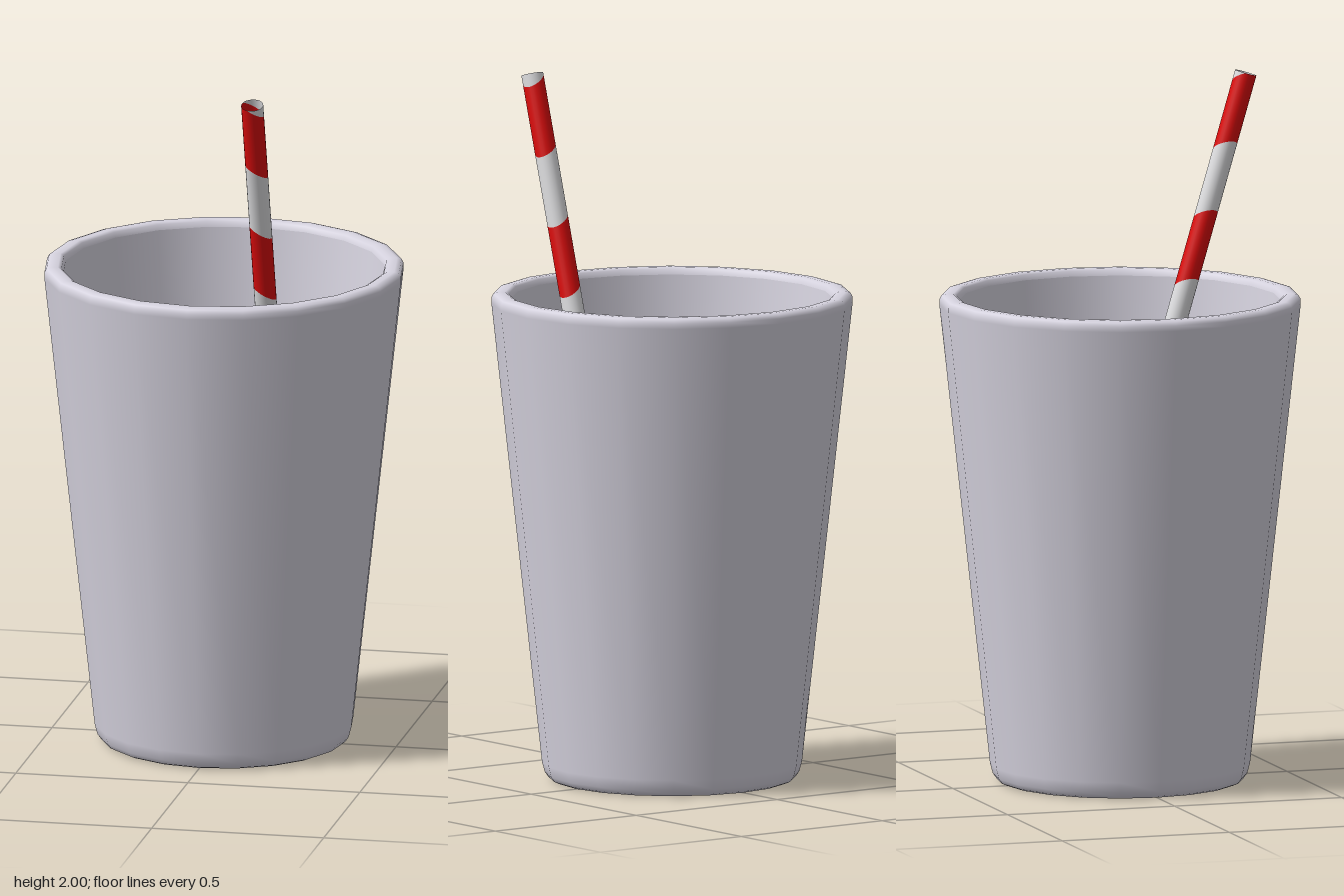
import * as THREE from 'three';

const SIDES = 20;

export function createModel() {
  const cupGrey = new THREE.MeshStandardMaterial({ color: 0xd6d3df });
  const strawRed = new THREE.MeshStandardMaterial({ color: 0xdc0c0c, side: THREE.DoubleSide });
  const strawWhite = new THREE.MeshStandardMaterial({ color: 0xdedee0, side: THREE.DoubleSide });
  cupGrey.name = 'cupGrey';
  strawRed.name = 'strawRed';
  strawWhite.name = 'strawWhite';

  const model = new THREE.Group();
  model.name = 'cupWithStraw';

  const add = (parent, name, geometry, material) => {
    const mesh = new THREE.Mesh(geometry, material);
    mesh.name = name;
    parent.add(mesh);
    return mesh;
  };
  const lathe = (points) =>
    new THREE.LatheGeometry(points.map(([r, y]) => new THREE.Vector2(r, y)), SIDES);

  // Cup: separate profiles keep the creases at the base and inner lip sharp
  const cup = new THREE.Group();
  cup.name = 'cup';
  model.add(cup);
  add(cup, 'base', lathe([[0, 0], [0.338, 0]]), cupGrey);
  add(cup, 'outerWall', lathe([
    [0.338, 0], [0.352, 0.006], [0.362, 0.02], [0.37, 0.05], [0.514, 1.37],
    [0.514, 1.385], [0.508, 1.396], [0.495, 1.4], [0.475, 1.4], [0.465, 1.395], [0.46, 1.38],
  ]), cupGrey);
  add(cup, 'innerWall', lathe([[0.46, 1.38], [0.425, 1.06], [0.32, 0.06]]), cupGrey);
  add(cup, 'innerFloor', lathe([[0.32, 0.06], [0, 0.06]]), cupGrey);

  // Flat drink surface inside the cup
  const drink = add(model, 'drinkSurface', new THREE.CircleGeometry(0.425, SIDES), cupGrey);
  drink.rotation.x = -Math.PI / 2;
  drink.position.y = 1.06;

  // Straw: leaning open tube, cut into bands by slanted planes
  const straw = new THREE.Group();
  straw.name = 'straw';
  model.add(straw);
  const tip = new THREE.Vector3(0.173, 1.99, 0.433);
  const axis = new THREE.Vector3(0, 1, 0.297).normalize();
  const across = new THREE.Vector3(0, -axis.z, axis.y);
  const radius = 0.0315, length = 1.95, segments = 24;

  // Distance along the axis where a slanted cut at height c meets angle a
  const cut = (c) => (a) => {
    const y = c - 0.6 * radius * Math.cos(a);
    const t = (y - tip.y + radius * Math.sin(a) * axis.z) / axis.y;
    return THREE.MathUtils.clamp(t, -length, 0);
  };

  const band = (lower, upper) => {
    const positions = [], normals = [], index = [];
    for (let i = 0; i <= segments; i++) {
      const a = (i / segments) * Math.PI * 2;
      const n = new THREE.Vector3(Math.cos(a), 0, 0).addScaledVector(across, Math.sin(a));
      for (const edge of [lower, upper]) {
        const p = tip.clone().addScaledVector(axis, edge(a)).addScaledVector(n, radius);
        positions.push(p.x, p.y, p.z);
        normals.push(n.x, n.y, n.z);
      }
      if (i < segments) {
        const k = i * 2;
        index.push(k, k + 1, k + 2, k + 1, k + 3, k + 2);
      }
    }
    const g = new THREE.BufferGeometry();
    g.setAttribute('position', new THREE.Float32BufferAttribute(positions, 3));
    g.setAttribute('normal', new THREE.Float32BufferAttribute(normals, 3));
    g.setIndex(index);
    return g;
  };

  const firstCut = 1.975, step = 0.195;
  for (let i = 0; i < 10; i++) {
    const upper = i === 0 ? () => 0 : cut(firstCut - (i - 1) * step);
    const lower = i === 9 ? () => -length : cut(firstCut - i * step);
    const red = i % 2 === 1;
    add(straw, red ? 'redStripe' : 'whiteStripe', band(lower, upper), red ? strawRed : strawWhite);
  }

  return model;
}
